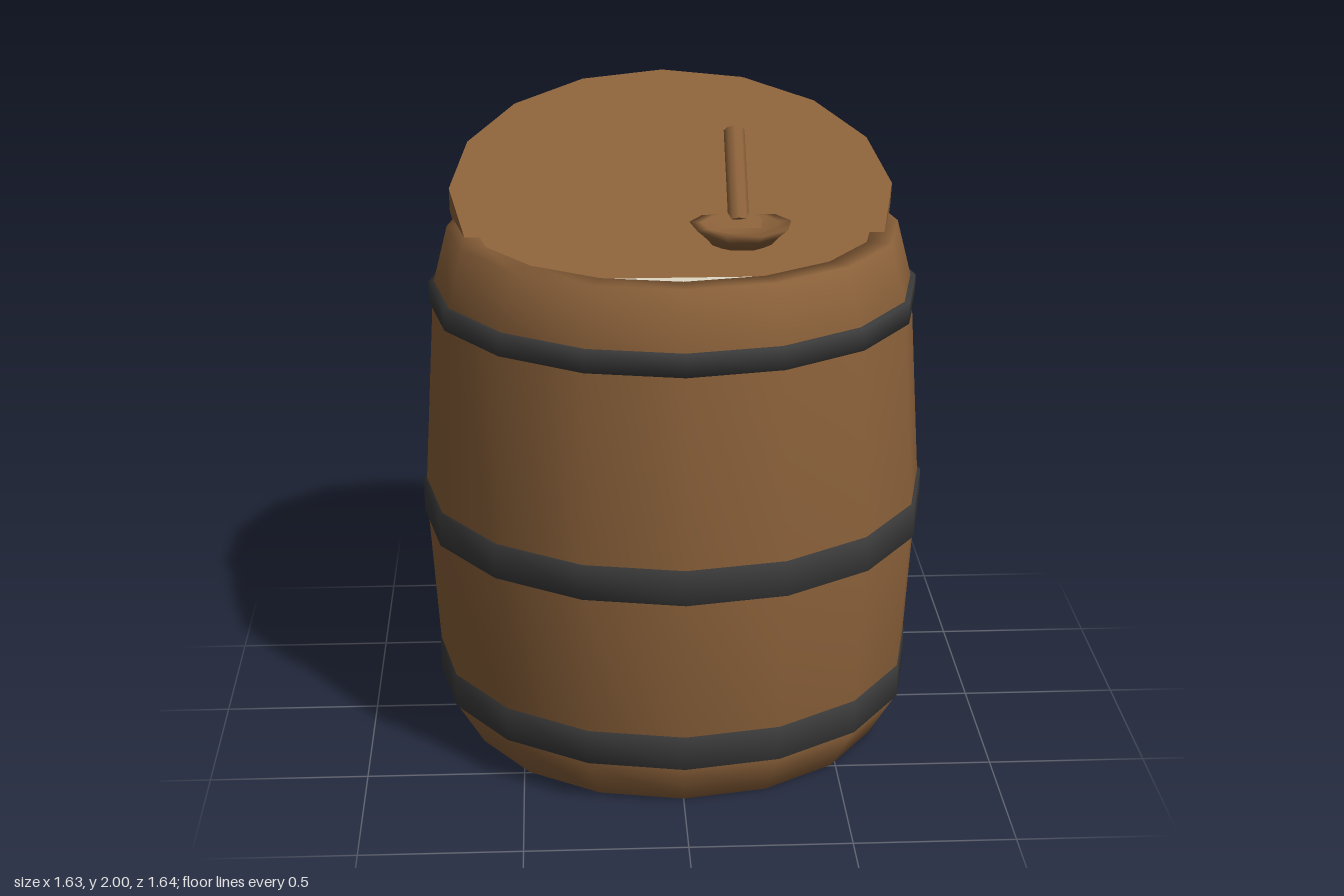
import * as THREE from 'three';

const SIDES = 16;
const CENTER_Z = 0.01;

export function createModel() {
  const wood = new THREE.MeshStandardMaterial({ color: 0x8b613a });
  wood.name = 'wood';
  const iron = new THREE.MeshStandardMaterial({ color: 0x3b3b3b });
  iron.name = 'iron';
  const cream = new THREE.MeshStandardMaterial({ color: 0xe0d8c6 });
  cream.name = 'cream';

  const model = new THREE.Group();
  model.name = 'barrel';

  const add = (name, geometry, material, x, y, z) => {
    const mesh = new THREE.Mesh(geometry, material);
    mesh.name = name;
    mesh.position.set(x, y, z);
    model.add(mesh);
    return mesh;
  };
  const lathe = (profile, sides = SIDES, start = 0) =>
    new THREE.LatheGeometry(profile.map(([r, y]) => new THREE.Vector2(r, y)), sides, start);

  // Staves: bulging wall with a rolled rim and a short inner wall
  add('staves', lathe([
    [0.64, 0.02], [0.64, 0.0], [0.685, 0.0], [0.768, 0.14], [0.808, 0.78],
    [0.764, 1.49], [0.715, 1.68], [0.635, 1.68], [0.62, 1.59],
  ]), wood, 0, 0, CENTER_Z);

  // Bottom head and the contents near the rim
  add('bottomHead', new THREE.CylinderGeometry(0.645, 0.645, 0.02, SIDES), wood, 0, 0.016, CENTER_Z);
  add('contents', new THREE.CylinderGeometry(0.63, 0.63, 0.02, SIDES), cream, 0, 1.596, CENTER_Z);

  // Iron hoops: [bottom, top, outer radius]
  [['lowerHoop', 0.15, 0.26, 0.778], ['middleHoop', 0.72, 0.83, 0.815], ['upperHoop', 1.43, 1.5, 0.778]]
    .forEach(([name, y0, y1, r]) => {
      const inner = r - 0.045;
      add(name, lathe([[inner, y0], [r, y0], [r, y1], [inner, y1]]), iron, 0, 0, CENTER_Z);
    });

  // Lid propped up at the back
  const lid = add('lid', new THREE.CylinderGeometry(0.71, 0.71, 0.087, SIDES), wood, 0, 1.728, -0.128);
  lid.rotation.x = THREE.MathUtils.degToRad(19);

  // Ladle resting on the lid: shallow bowl and slanted handle
  add('ladleBowl', lathe([
    [0, 1.655], [0.1, 1.655], [0.128, 1.685], [0.162, 1.715], [0.125, 1.715], [0.08, 1.69], [0, 1.69],
  ], 9, Math.PI), wood, 0.205, 0, 0.15);
  const low = new THREE.Vector3(0.205, 1.69, 0.053);
  const high = new THREE.Vector3(0.205, 1.928, -0.185);
  const mid = low.clone().add(high).multiplyScalar(0.5);
  const handle = add('ladleHandle',
    new THREE.CylinderGeometry(0.034, 0.034, low.distanceTo(high), 9), wood, mid.x, mid.y, mid.z);
  handle.rotation.x = -Math.PI / 4;

  return model;
}
